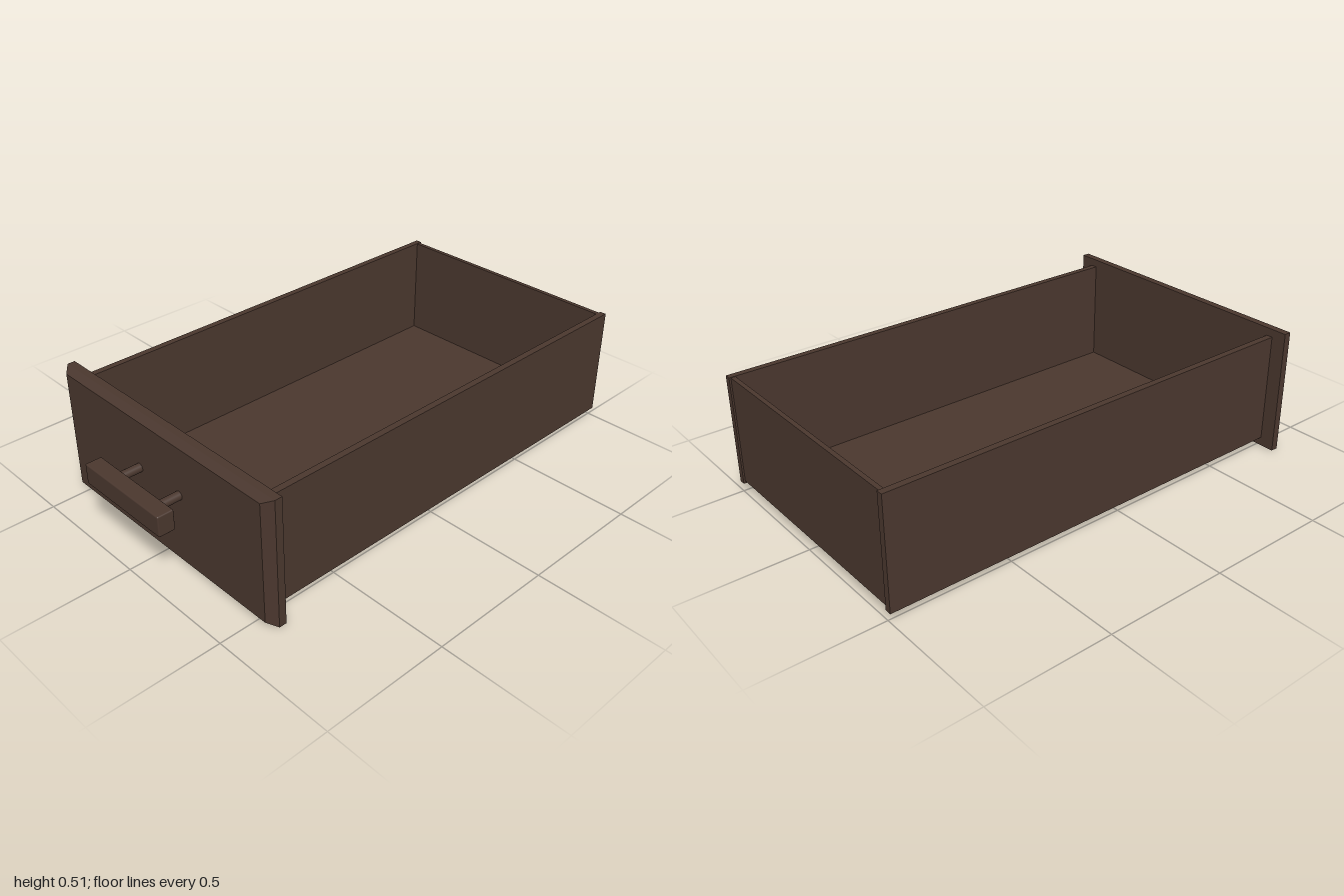
import * as THREE from 'three';
import { RoundedBoxGeometry } from 'three/addons/geometries/RoundedBoxGeometry.js';

export function createModel() {
  const model = new THREE.Group();
  model.name = 'drawer';
  const wood = new THREE.MeshStandardMaterial({ color: 0x4a372e });
  wood.name = 'dark wood';

  function add(name, geometry, x = 0, y = 0, z = 0) {
    const mesh = new THREE.Mesh(geometry, wood);
    mesh.name = name;
    mesh.position.set(x, y, z);
    model.add(mesh);
    return mesh;
  }

  // Box given by its lower and upper limits
  function slab(name, [x0, x1], [y0, y1], [z0, z1]) {
    return add(name, new THREE.BoxGeometry(x1 - x0, y1 - y0, z1 - z0),
      (x0 + x1) / 2, (y0 + y1) / 2, (z0 + z1) / 2);
  }

  // Front panel: straight rim at the back, chamfered towards the face
  const halfW = 0.577, halfH = 0.256;
  let panel = new THREE.BoxGeometry(halfW * 2, halfH * 2, 0.06, 1, 1, 2);
  const p = panel.attributes.position;
  for (let i = 0; i < p.count; i++) {
    if (p.getZ(i) > 0.01) {
      p.setX(i, Math.sign(p.getX(i)) * (halfW - 0.036));
      p.setY(i, Math.sign(p.getY(i)) * (halfH - 0.016));
    }
  }
  panel = panel.toNonIndexed();
  panel.computeVertexNormals();
  add('frontPanel', panel, 0, halfH, 0.815);

  // Tray: two sides, a slightly recessed back and a raised floor
  for (const [name, s] of [['left', 1], ['right', -1]]) {
    const side = slab(name + 'Side', [0.491, 0.517], [0.035, 0.48], [-1, 0.785]);
    side.position.x *= s;
  }
  slab('back', [-0.491, 0.491], [0.045, 0.478], [-0.993, -0.975]);
  slab('floor', [-0.491, 0.491], [0.047, 0.057], [-0.975, 0.785]);

  // Handle: a bar on two posts
  add('handleBar', new RoundedBoxGeometry(0.42, 0.082, 0.065, 2, 0.005), 0, 0.3, 0.9675);
  for (const [name, s] of [['left', 1], ['right', -1]]) {
    const post = new THREE.CylinderGeometry(0.017, 0.017, 0.1, 16);
    post.rotateX(Math.PI / 2);
    add(name + 'HandlePost', post, s * 0.113, 0.3, 0.89);
  }

  return model;
}
